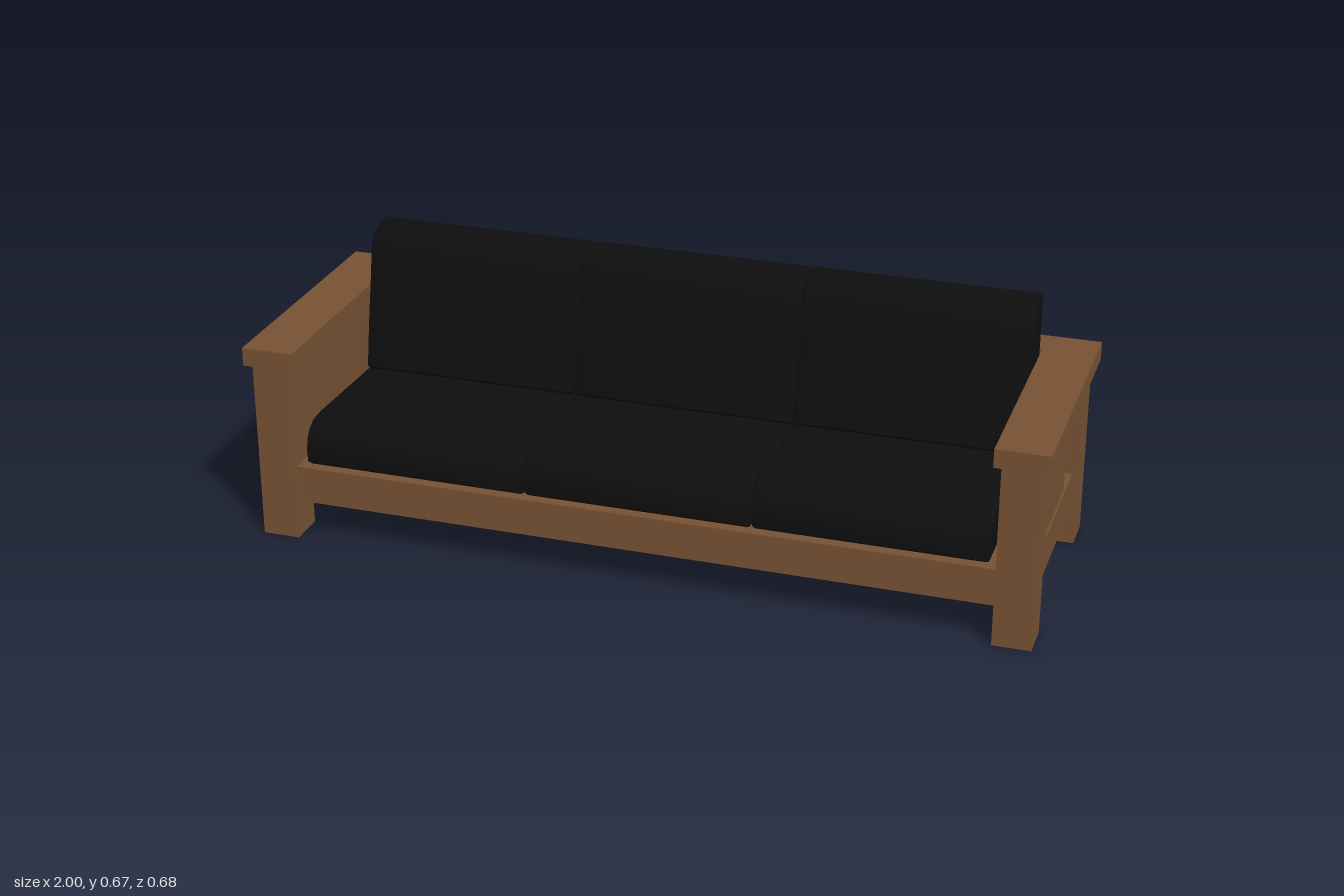
import * as THREE from 'three';
import { toCreasedNormals } from 'three/addons/utils/BufferGeometryUtils.js';

export function createModel() {
  const group = new THREE.Group();
  const wood = new THREE.MeshStandardMaterial({ color: 0x775234 });
  wood.name = 'brown wood';
  const fabric = new THREE.MeshStandardMaterial({ color: 0x0e0e0e });
  fabric.name = 'black fabric';

  // Wooden block given by its minimum and maximum on each axis
  const block = (name, [x0, x1], [y0, y1], [z0, z1]) => {
    const mesh = new THREE.Mesh(new THREE.BoxGeometry(x1 - x0, y1 - y0, z1 - z0), wood);
    mesh.position.set((x0 + x1) / 2, (y0 + y1) / 2, (z0 + z1) / 2);
    mesh.name = name;
    group.add(mesh);
  };
  const mirrored = (s, a, b) => (s > 0 ? [a, b] : [-b, -a]);

  // Solid base, back rails
  block('base', [-0.965, 0.965], [0.097, 0.192], [-0.315, 0.315]);
  block('backTopRail', [-0.868, 0.868], [0.463, 0.51], [-0.34, -0.247]);
  block('backUpperRail', [-0.9, 0.9], [0.415, 0.463], [-0.315, -0.25]);
  for (const x of [-0.587, 0, 0.587]) {
    block('backPanel', [x - 0.146, x + 0.146], [0.192, 0.415], [-0.31, -0.275]);
  }

  // Legs, armrests and side panels, mirrored
  for (const s of [-1, 1]) {
    for (const t of [-1, 1]) {
      block('leg', mirrored(s, 0.885, 0.98), [0, 0.463], mirrored(t, 0.235, 0.33));
    }
    block('armrest', mirrored(s, 0.868, 1), [0.463, 0.51], [-0.34, 0.34]);
    block('sideUpperRail', mirrored(s, 0.9, 0.965), [0.415, 0.463], [-0.25, 0.25]);
    block('sidePanel', mirrored(s, 0.925, 0.96), [0.192, 0.415], [-0.14, 0.15]);
  }

  // Cushion profiles as (z, y) points
  const seatProfile = [
    [-0.245, 0.205], [-0.235, 0.194], [0.29, 0.194], [0.3, 0.202], [0.303, 0.235], [0.295, 0.265],
    [0.28, 0.287], [0.255, 0.301], [0.22, 0.305], [0.15, 0.303], [-0.1, 0.296], [-0.235, 0.296], [-0.245, 0.288],
  ];
  const backProfile = [
    [-0.245, 0.308], [-0.235, 0.297], [-0.085, 0.297], [-0.079, 0.305], [-0.1, 0.42], [-0.12, 0.51],
    [-0.14, 0.61], [-0.156, 0.638], [-0.183, 0.655], [-0.218, 0.665], [-0.236, 0.663], [-0.245, 0.645],
  ];
  const width = 0.574, bevel = 0.008;
  const cushionGeometry = (points) => {
    const shape = new THREE.Shape(points.map(([z, y]) => new THREE.Vector2(z, y)));
    const geometry = new THREE.ExtrudeGeometry(shape, {
      depth: width - 2 * bevel, bevelEnabled: true, bevelThickness: bevel,
      bevelSize: bevel, bevelOffset: -bevel, bevelSegments: 2,
    });
    geometry.translate(0, 0, bevel - width / 2);
    geometry.rotateY(-Math.PI / 2);
    return toCreasedNormals(geometry, 0.7);
  };
  const seat = cushionGeometry(seatProfile);
  const back = cushionGeometry(backProfile);

  // Three seat cushions and three back cushions
  for (const x of [-0.577, 0, 0.577]) {
    for (const [name, geometry] of [['seatCushion', seat], ['backCushion', back]]) {
      const mesh = new THREE.Mesh(geometry, fabric);
      mesh.position.x = x;
      mesh.name = name;
      group.add(mesh);
    }
  }
  return group;
}
